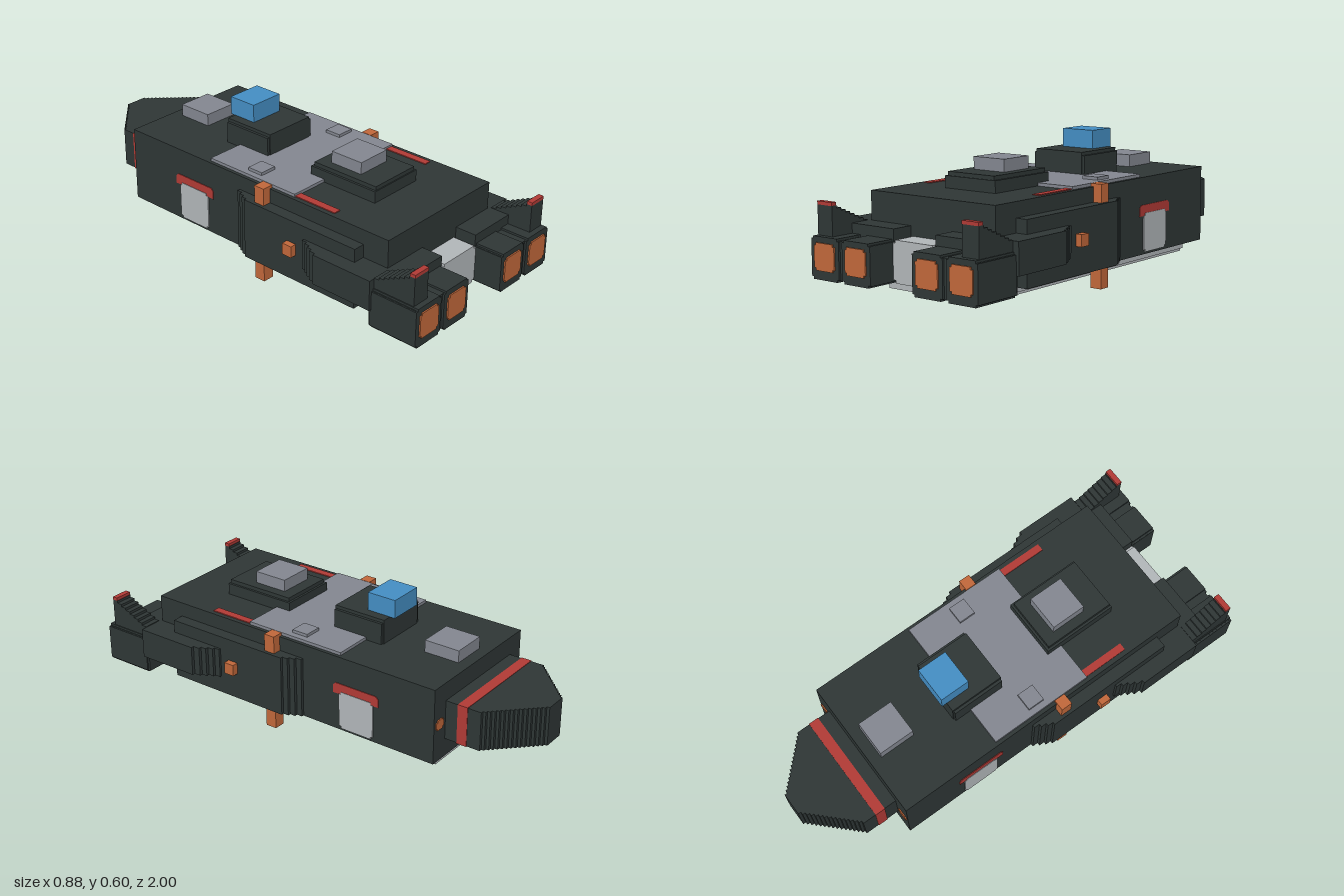
import * as THREE from 'three';

const mat = (name, color) => {
  const m = new THREE.MeshStandardMaterial({ color });
  m.name = name;
  return m;
};

export function createModel() {
  const dark = mat('dark hull', 0x2e3635);
  const grey = mat('slate grey', 0x82868f);
  const light = mat('light grey', 0xb0b5b8);
  const orange = mat('orange', 0xc0673a);
  const red = mat('red', 0xb03a35);
  const blue = mat('blue', 0x448dc2);

  const root = new THREE.Group();
  const add = (name, geometry, material) => {
    const mesh = new THREE.Mesh(geometry, material);
    mesh.name = name;
    root.add(mesh);
  };
  // Box given by its ranges
  const box = (name, m, x0, x1, y0, y1, z0, z1) => {
    const g = new THREE.BoxGeometry(Math.abs(x1 - x0), y1 - y0, Math.abs(z1 - z0));
    g.translate((x0 + x1) / 2, (y0 + y1) / 2, (z0 + z1) / 2);
    add(name, g, m);
  };
  const extrude = (pts, depth) => new THREE.ExtrudeGeometry(
    new THREE.Shape(pts.map(([a, b]) => new THREE.Vector2(a, b))), { depth, bevelEnabled: false });
  // Outline in x and z, raised from y0 to y1
  const slab = (name, m, pts, y0, y1) =>
    add(name, extrude(pts.map(([x, z]) => [x, -z]), y1 - y0).rotateX(-Math.PI / 2).translate(0, y0, 0), m);
  // Rectangle with square notches cut from its corners
  const notched = (a0, a1, b0, b1, n) => [
    [a0 + n, b0], [a1 - n, b0], [a1 - n, b0 + n], [a1, b0 + n], [a1, b1 - n], [a1 - n, b1 - n],
    [a1 - n, b1], [a0 + n, b1], [a0 + n, b1 - n], [a0, b1 - n], [a0, b0 + n], [a0 + n, b0 + n]];
  const front = (name, m, pts, z0, z1) => add(name, extrude(pts, z1 - z0).translate(0, 0, z0), m);

  // Main hull and keel
  box('hull', dark, -0.32, 0.32, 0.085, 0.415, -0.65, 0.77);
  front('keel', light, notched(-0.253, 0.253, 0.03, 0.085, 0.014), -0.61, 0.76);

  // Nose with a finely stepped taper
  const half = [[0.24, -0.65]];
  const steps = 15, d = 0.19 / steps;
  for (let i = 0; i < steps; i++) {
    half.push([0.24 - i * d, -0.81 - i * d], [0.24 - (i + 1) * d, -0.81 - i * d]);
  }
  half.push([0.05, -1]);
  slab('nose', dark, [...half, ...half.slice().reverse().map(([x, z]) => [-x, z])], 0.165, 0.335);
  box('noseStripe', red, -0.242, 0.242, 0.163, 0.337, -0.75, -0.705);

  // Deck plate and rear deck block
  box('deckPlate', grey, -0.305, 0.305, 0.41, 0.428, -0.19, 0.28);
  box('deckBlock', grey, -0.078, 0.078, 0.41, 0.468, -0.6, -0.44);

  // Turrets
  box('frontTurretBase', dark, -0.13, 0.13, 0.41, 0.465, 0.21, 0.545);
  box('frontTurretTop', dark, -0.12, 0.12, 0.41, 0.482, 0.22, 0.54);
  box('frontTurretCap', grey, -0.079, 0.079, 0.48, 0.534, 0.275, 0.43);
  box('rearTurretBase', dark, -0.132, 0.132, 0.41, 0.507, -0.265, -0.03);
  box('rearTurretTop', dark, -0.12, 0.12, 0.41, 0.521, -0.27, -0.027);
  box('bridge', blue, -0.079, 0.079, 0.52, 0.6, -0.293, -0.16);

  // Block between the engines
  front('engineBridge', light, notched(-0.108, 0.108, 0.085, 0.254, 0.012), 0.76, 0.87);

  for (const s of [1, -1]) {
    const side = (name, m, x0, x1, ...r) => box(name, m, s * x0, s * x1, ...r);
    const mirror = pts => pts.map(([x, z]) => [s * x, z]);

    // Stepped side slabs
    slab('sideSlab', dark, mirror([[0.31, 0.65], [0.372, 0.65], [0.372, 0.065], [0.36, 0.065], [0.36, 0.04],
      [0.347, 0.04], [0.347, 0.015], [0.333, 0.015], [0.333, -0.01], [0.31, -0.01]]), 0.087, 0.352);
    slab('sideWing', dark, mirror([[0.31, 0.78], [0.438, 0.78], [0.438, 0.495], [0.424, 0.495], [0.424, 0.465],
      [0.41, 0.465], [0.41, 0.44], [0.395, 0.44], [0.395, 0.415], [0.382, 0.415], [0.382, 0.39], [0.31, 0.39]]), 0.165, 0.295);

    // Engine pods with glowing faces
    side('engineBody', dark, 0.11, 0.42, 0.09, 0.245, 0.765, 0.985);
    for (const [a, b] of [[0.108, 0.258], [0.276, 0.426]]) {
      const c = s * (a + b) / 2;
      front('enginePod', dark, notched(c - 0.075, c + 0.075, 0.083, 0.254, 0.01), 0.775, 0.994);
      front('engineGlow', orange, notched(c - 0.055, c + 0.055, 0.12, 0.23, 0.01), 0.992, 1);
    }
    side('engineShoulder', dark, 0.108, 0.335, 0.2, 0.295, 0.765, 0.865);

    // Staircase fin with a red top step
    const stairs = [[-0.97, 0.2], [-0.97, 0.375]];
    for (let i = 0; i < 8; i++) {
      const z = 0.945 - i * 0.0236, y = 0.375 - i * 0.011;
      stairs.push([-z, y], [-z, y - 0.011]);
    }
    stairs.push([-0.77, 0.287], [-0.77, 0.2]);
    add('fin', extrude(stairs, 0.08).rotateY(Math.PI / 2).translate(s * 0.372 - 0.04, 0, 0), dark);
    side('finTip', red, 0.332, 0.412, 0.374, 0.388, 0.947, 0.971);

    // Orange thrusters
    side('upperThruster', orange, 0.307, 0.358, 0.35, 0.428, 0.11, 0.16);
    side('lowerThruster', orange, 0.307, 0.358, 0, 0.087, 0.11, 0.16);
    side('sideThruster', orange, 0.36, 0.4, 0.205, 0.255, 0.3, 0.347);
    front('rearThruster', orange, notched(s * 0.283 - 0.027, s * 0.283 + 0.027, 0.228, 0.272, 0.009), -0.655, -0.648);

    // Deck details
    side('deckHatch', grey, 0.2, 0.278, 0.425, 0.441, 0, 0.075);
    side('deckStripe', red, 0.267, 0.3, 0.412, 0.419, 0.28, 0.485);

    // Side door with a red canopy
    const plate = (name, m, pts, x) =>
      add(name, extrude(pts, 0.006).rotateY(Math.PI / 2).translate(s * x - 0.003, 0, 0), m);
    plate('doorCanopy', red, [[0.165, 0.25], [0.387, 0.25], [0.387, 0.285], [0.375, 0.297], [0.177, 0.297], [0.165, 0.285]], 0.32);
    plate('door', light, notched(0.195, 0.362, 0.095, 0.262, 0.01), 0.322);
  }
  return root;
}
